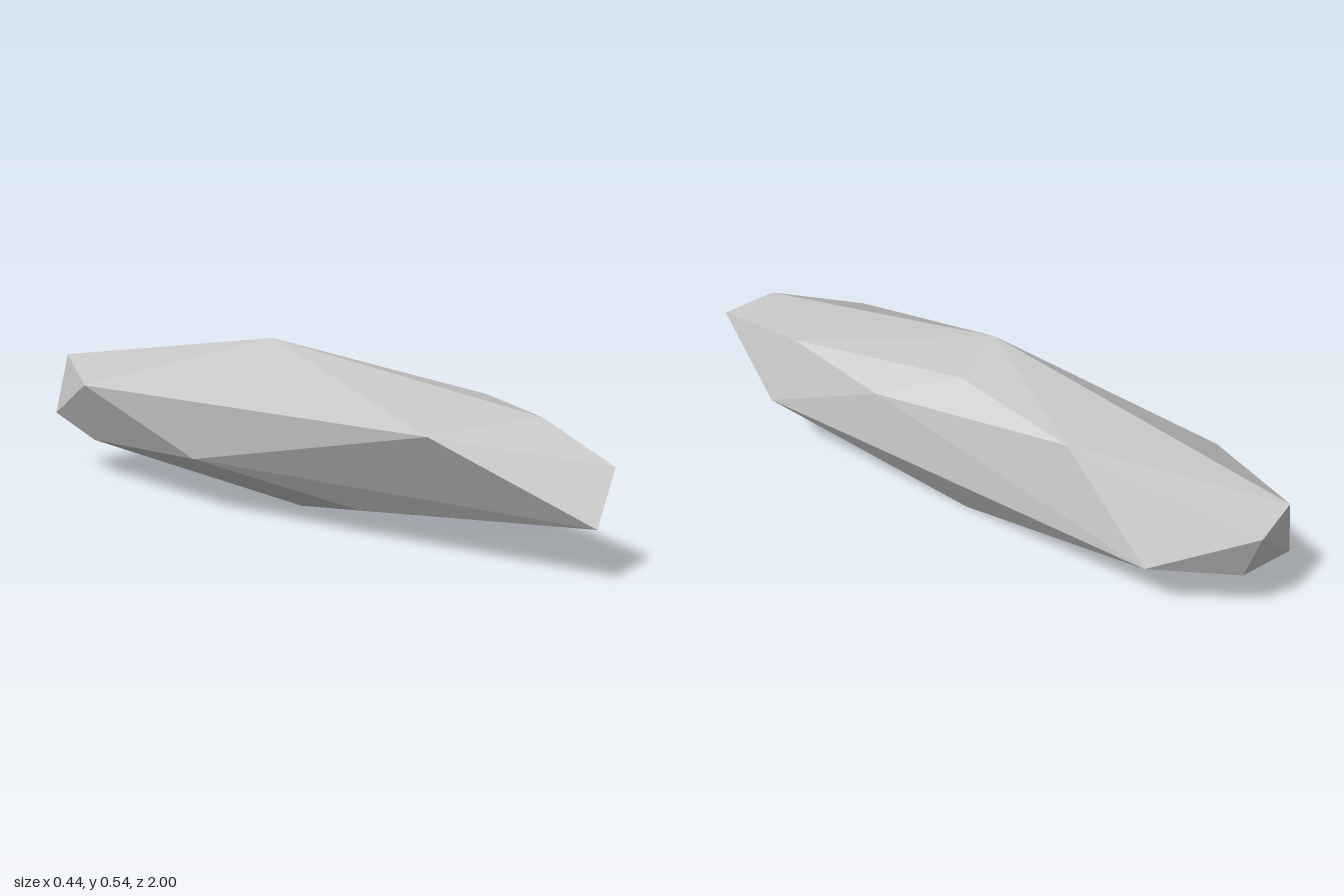
import * as THREE from 'three';
import { ConvexGeometry } from 'three/addons/geometries/ConvexGeometry.js';

// Corner points of the stone, from the front tip to the back tip
const corners = [
  // front tip
  [0.02, 0.293, 1], [-0.065, 0.15, 1], [-0.033, 0.405, 0.82],
  // front shoulder
  [-0.222, 0.355, 0.6], [0.222, 0.208, 0.6], [0.148, 0.408, 0.55],
  // middle ring
  [-0.088, 0.08, 0.29], [0.19, 0.375, 0.19], [-0.062, 0.535, -0.05],
  [0.1, 0.478, -0.05], [0.073, 0, -0.05], [-0.205, 0.17, -0.24],
  // back shoulder
  [0.148, 0.438, -0.44], [-0.22, 0.345, -0.7], [0.205, 0.2, -0.73],
  [-0.005, 0.11, -0.81], [-0.088, 0.13, -0.81],
  // back tip
  [0.054, 0.183, -0.94], [0.095, 0.355, -0.99], [-0.03, 0.395, -1], [-0.09, 0.2, -1],
];

export function createModel() {
  const stone = new THREE.MeshStandardMaterial({ color: 0xc2c2c2, flatShading: true });
  stone.name = 'pale stone grey';

  // Faceted, elongated rock shard
  const shard = new THREE.Mesh(
    new ConvexGeometry(corners.map((p) => new THREE.Vector3(...p))),
    stone,
  );
  shard.name = 'rockShard';

  const group = new THREE.Group();
  group.name = 'rock';
  group.add(shard);
  return group;
}
